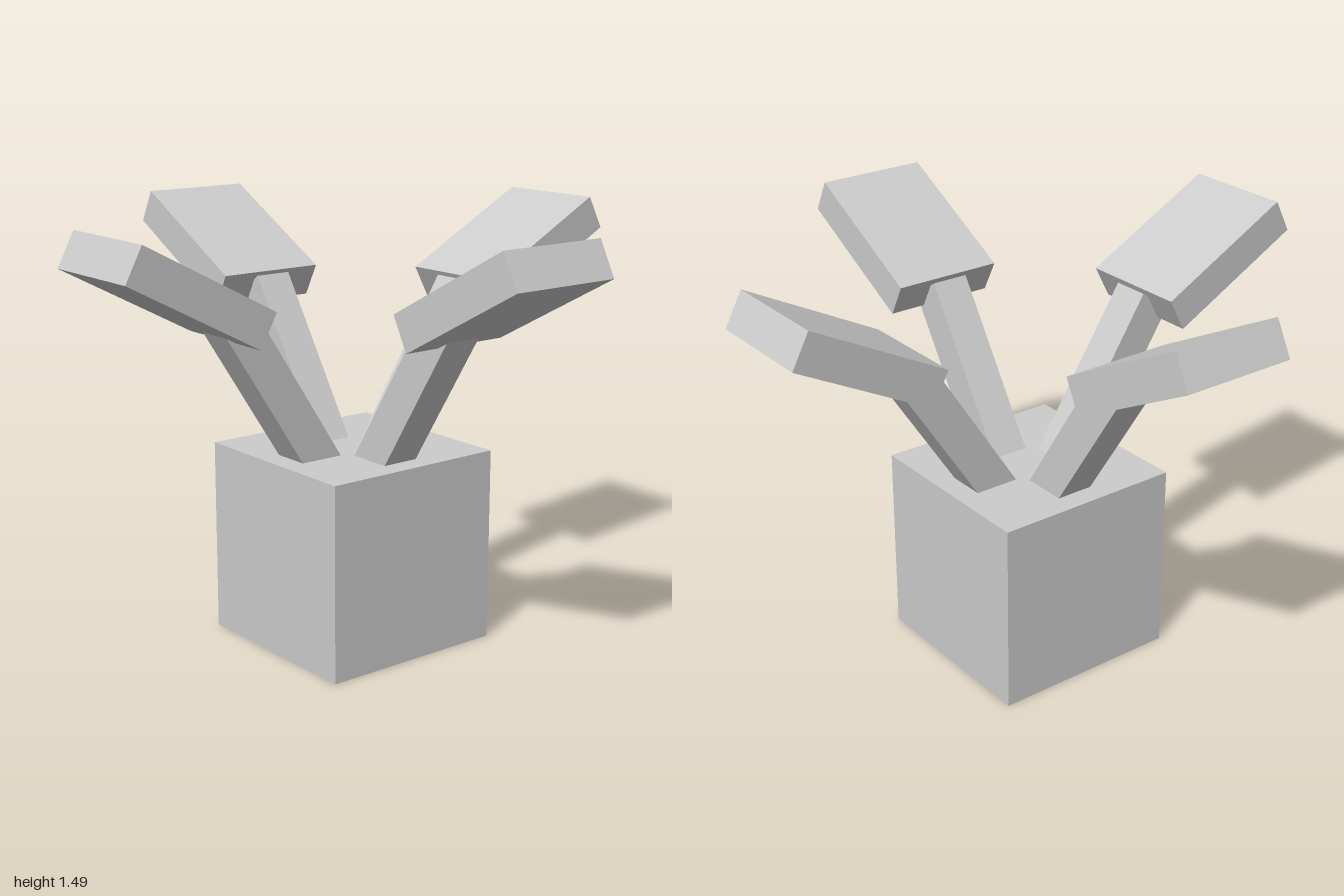
import * as THREE from 'three';

const material = new THREE.MeshStandardMaterial({ color: 0xcccccc, flatShading: true });

function box(name, w, h, d, x, y, tilt) {
  const mesh = new THREE.Mesh(new THREE.BoxGeometry(w, h, d), material);
  mesh.name = name;
  mesh.position.set(x, y, 0);
  mesh.rotation.z = THREE.MathUtils.degToRad(tilt);
  return mesh;
}

// One leaning stem, sunk into the pot, with a broad leaf block at its tip
function createBranch(name) {
  const branch = new THREE.Group();
  branch.name = name;
  const tilt = 32.7, length = 0.7, a = THREE.MathUtils.degToRad(tilt);
  const tip = { x: 0.507, y: 1.188 };
  branch.add(
    box('stem', 0.135, length, 0.135,
      tip.x - Math.sin(a) * length / 2, tip.y - Math.cos(a) * length / 2, -tilt),
    box('leaf', 0.543, 0.13, 0.4, 0.728, 1.306, 28),
  );
  return branch;
}

export function createModel() {
  const model = new THREE.Group();
  model.name = 'pottedPlant';

  // Cubic pot
  model.add(box('pot', 0.68, 0.68, 0.68, 0, 0.34, 0));

  // Four branches, a quarter turn apart
  ['leftBranch', 'backBranch', 'rightBranch', 'frontBranch'].forEach((name, i) => {
    const branch = createBranch(name);
    branch.rotation.y = i * Math.PI / 2;
    model.add(branch);
  });

  return model;
}
